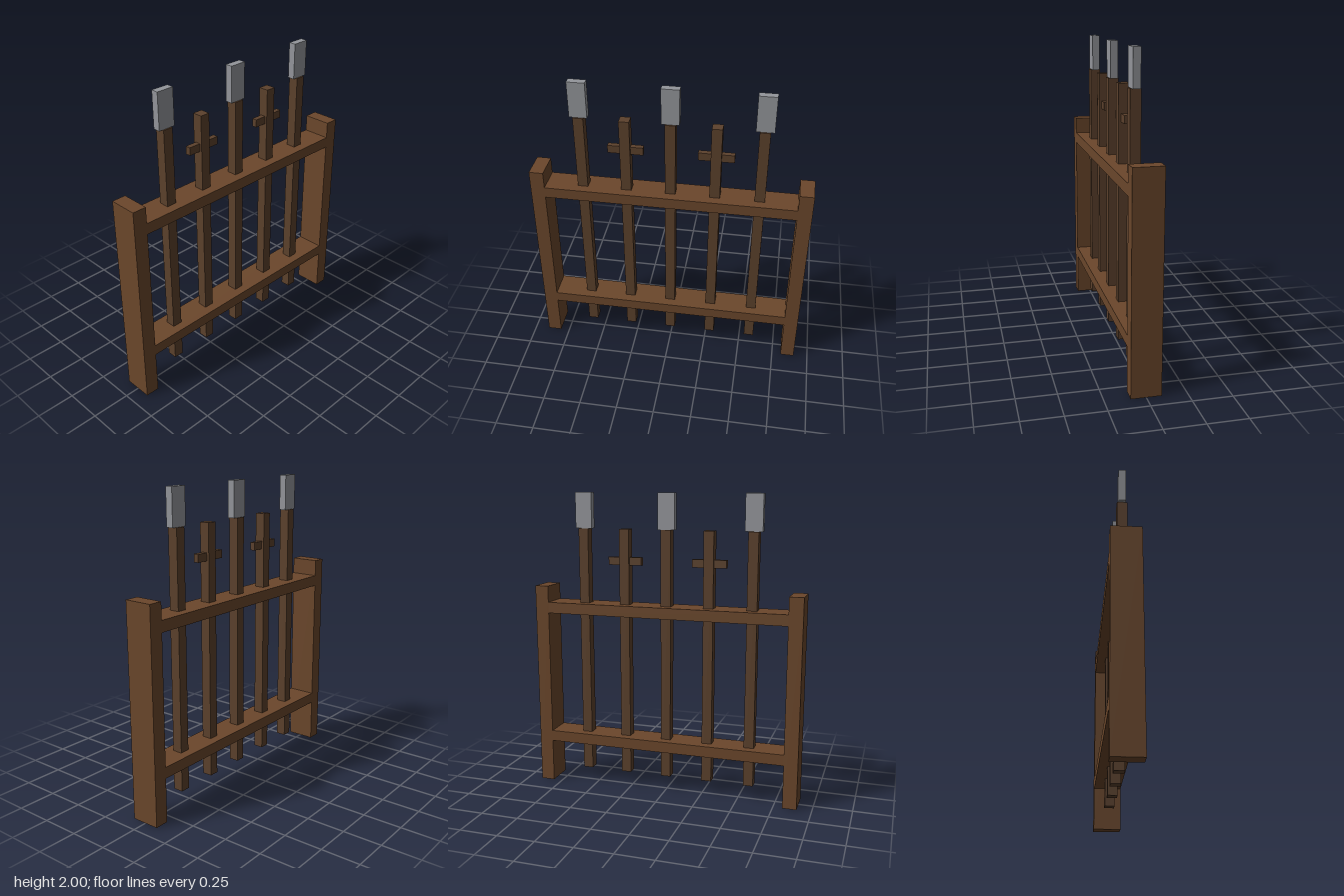
import * as THREE from 'three';

export function createModel() {
  const group = new THREE.Group();
  const material = (color) => new THREE.MeshStandardMaterial({ color });
  const frameWood = material(0x6b472b);
  const picketWood = material(0x5c412c);
  const metal = material(0x94969b);

  // Box centred on z = 0, standing between two heights
  function addBox(name, mat, x, width, bottom, top, depth) {
    const mesh = new THREE.Mesh(new THREE.BoxGeometry(width, top - bottom, depth), mat);
    mesh.position.set(x, (bottom + top) / 2, 0);
    mesh.name = name;
    group.add(mesh);
  }

  // Frame: two end posts joined by two flush rails
  addBox('rightPost', frameWood, -0.857, 0.092, 0, 1.38, 0.188);
  addBox('leftPost', frameWood, 0.857, 0.092, 0, 1.38, 0.188);
  addBox('lowerRail', frameWood, 0, 1.622, 0.29, 0.363, 0.188);
  addBox('upperRail', frameWood, 0, 1.622, 1.197, 1.27, 0.188);

  // Pickets: metal blades and wooden crosspieces alternate
  for (let i = -2; i <= 2; i++) {
    const x = i * 0.285;
    addBox('picket', picketWood, x, 0.066, 0.1, 1.765, 0.066);
    if (i % 2 === 0) addBox('blade', metal, x, 0.113, 1.765, 2, 0.047);
    else addBox('crosspiece', picketWood, x, 0.227, 1.53, 1.582, 0.034);
  }
  return group;
}
